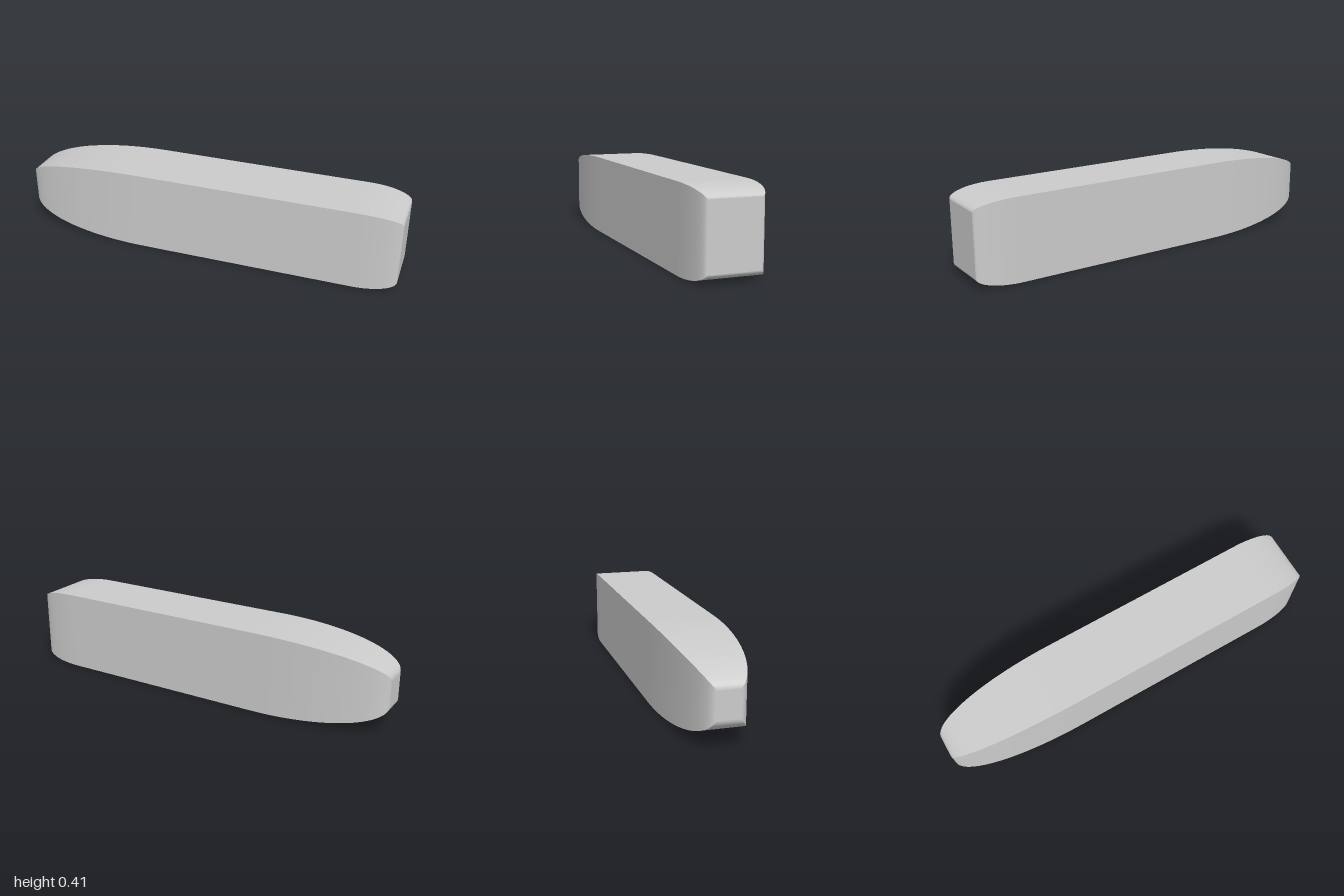
import * as THREE from 'three';

const HEIGHT = 0.412, WIDTH = 0.332;
const LEFT = { start: -0.33, end: -1, scale: 0.33, steps: 24 };
const RIGHT = { start: 0.78, end: 1, scale: 0.765, steps: 16 };

// Stations along the length: a quarter ellipse at each end, straight between.
function taper({ start, end, scale, steps }) {
  return Array.from({ length: steps + 1 }, (_, i) => {
    const a = (i / steps) * Math.PI / 2;
    return { x: start + (end - start) * Math.sin(a), s: scale + (1 - scale) * Math.cos(a) };
  });
}

export function createModel() {
  const stations = [...taper(LEFT).reverse(), ...taper(RIGHT)];
  const n = stations.length - 1;

  // Box whose cross-section shrinks towards both ends; edges stay sharp.
  const geometry = new THREE.BoxGeometry(2, HEIGHT, WIDTH, n, 1, 1);
  const p = geometry.attributes.position;
  for (let i = 0; i < p.count; i++) {
    const { x, s } = stations[Math.round((p.getX(i) + 1) / 2 * n)];
    p.setXYZ(i, x, p.getY(i) * s + HEIGHT / 2, p.getZ(i) * s);
  }
  geometry.computeVertexNormals();

  const body = new THREE.Mesh(geometry, new THREE.MeshStandardMaterial({ color: 0xcccccc }));
  body.name = 'taperedBody';
  const model = new THREE.Group();
  model.name = 'taperedBar';
  model.add(body);
  return model;
}
